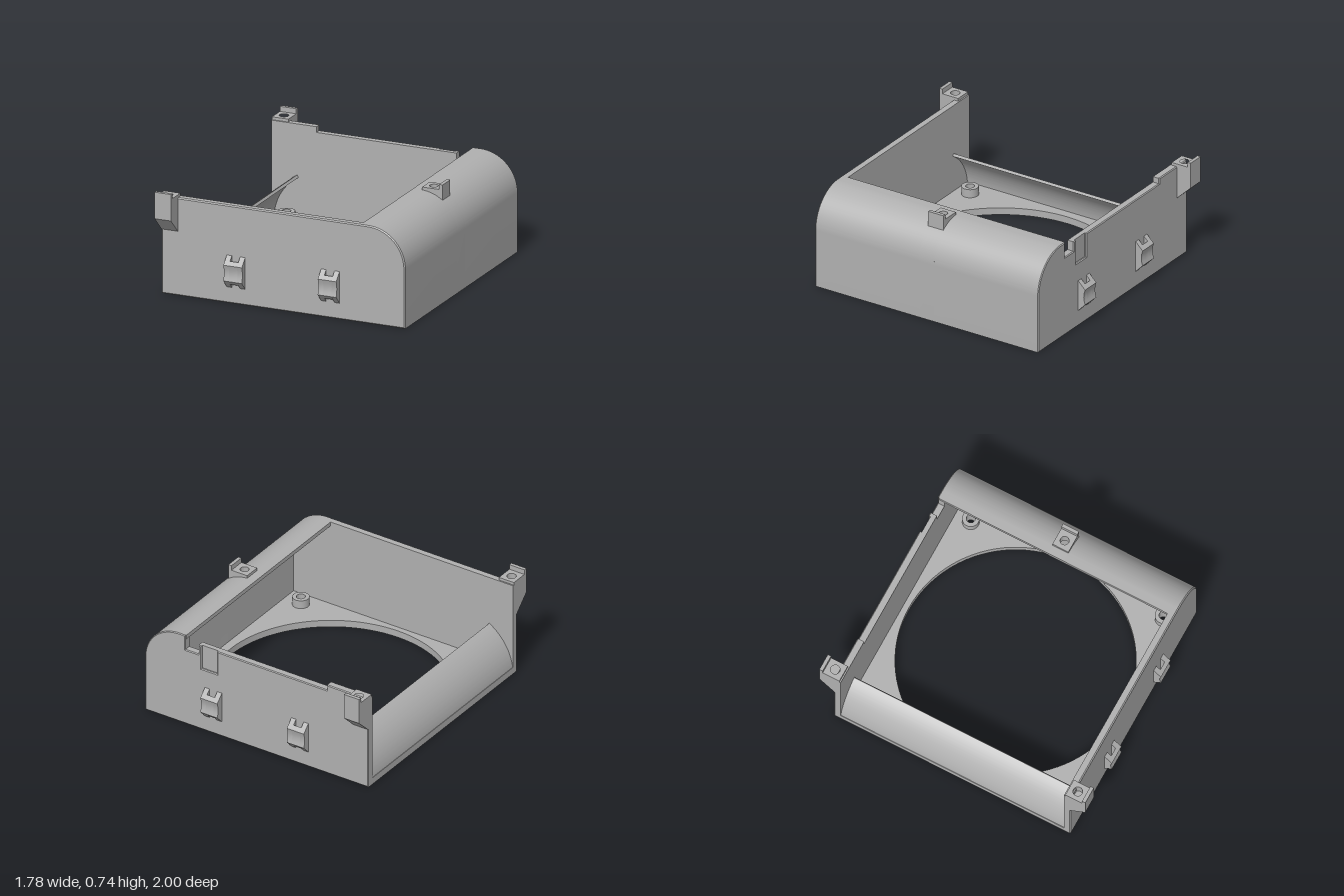
import * as THREE from 'three';
import { toCreasedNormals } from 'three/addons/utils/BufferGeometryUtils.js';

const W = 0.89, H = 0.685;          // half width and wall height
const ARC = { x: 0.62, y: 0.415, r: 0.27 }; // rounded shoulder

const polygon = (pts) => new THREE.Shape(pts.map(([a, b]) => new THREE.Vector2(a, b)));

const circleHole = (shape, x, y, r) => {
  const hole = new THREE.Path();
  hole.absarc(x, y, r, 0, Math.PI * 2, true);
  shape.holes.push(hole);
};

// Extrude a shape centred on its depth axis, with an optional small bevel
function extrude(shape, depth, bevel = 0, segments = 24) {
  const g = new THREE.ExtrudeGeometry(shape, {
    depth: depth - 2 * bevel, curveSegments: segments, bevelEnabled: bevel > 0,
    bevelSize: bevel, bevelOffset: -bevel, bevelThickness: bevel, bevelSegments: 1,
  });
  g.translate(0, 0, -(depth - 2 * bevel) / 2);
  return toCreasedNormals(g, 0.4);
}
// Profile given in (z, y), extruded along x
const alongX = (shape, depth) => extrude(shape, depth).rotateY(-Math.PI / 2);
// Plan given in (x, z), extruded from y0 to y1
const plate = (shape, y0, y1, segments = 32) =>
  extrude(shape, y1 - y0, 0, segments).rotateX(Math.PI / 2).translate(0, (y0 + y1) / 2, 0);

const rect = (x0, x1, y0, y1) => polygon([[x0, y0], [x1, y0], [x1, y1], [x0, y1]]);

// Side wall outline, with the rounded shoulder and an optional top edge
function wallOutline(topEdge) {
  const s = new THREE.Shape();
  s.moveTo(-W, 0);
  s.lineTo(W, 0);
  s.lineTo(W, ARC.y);
  s.absarc(ARC.x, ARC.y, ARC.r, 0, Math.PI / 2, false);
  topEdge.forEach(([x, y]) => s.lineTo(x, y));
  s.lineTo(-W, H);
  return s;
}

// Thin curved end wall, from the floor up to the given arc angle
function shellOutline(endAngle, lip) {
  const t = 0.03, s = new THREE.Shape();
  s.moveTo(W - t, 0);
  s.lineTo(W, 0);
  s.lineTo(W, ARC.y);
  s.absarc(ARC.x, ARC.y, ARC.r, 0, endAngle, false);
  if (lip) { s.lineTo(0.565, H); s.lineTo(0.565, H - t); }
  s.absarc(ARC.x, ARC.y, ARC.r - t, endAngle, 0, true);
  return s;
}

export function createModel() {
  const grey = new THREE.MeshStandardMaterial({ color: 0xb0b0b0 });
  grey.name = 'grey plastic';
  const model = new THREE.Group();
  model.name = 'fanDuct';
  const add = (name, geometry, parent = model) => {
    const m = new THREE.Mesh(geometry, grey);
    m.name = name;
    parent.add(m);
    return m;
  };

  // Floor with the large round opening and four screw holes
  const corners = [[1, 1], [1, -1], [-1, 1], [-1, -1]].map(([a, b]) => [a * 0.725, b * 0.725]);
  const floor = rect(-W, W, -0.88, 0.88);
  circleHole(floor, 0, 0, 0.8);
  corners.forEach(([x, z]) => circleHole(floor, x, z, 0.03));
  add('floor', plate(floor, 0, 0.05, 48));

  // Screw bosses
  corners.forEach(([x, z]) => {
    const ring = new THREE.Shape();
    ring.absarc(x, z, 0.058, 0, Math.PI * 2, false);
    circleHole(ring, x, z, 0.03);
    add('screwBoss', plate(ring, 0.045, 0.11, 16));
  });

  // Front wall: inner layer and chamfered outer layer
  add('frontWallInner', extrude(wallOutline([]), 0.04).translate(0, 0, 0.86));
  add('frontWallOuter', extrude(wallOutline([]), 0.025, 0.008).translate(0, 0, 0.8775));

  // Back wall: lowered top edge, a notch, and a shallow pocket outside
  const notch = [[0.57, H], [0.57, 0.575], [0.465, 0.575], [0.465, 0.645]];
  const step = [[-0.56, 0.645], [-0.56, H]];
  const pocket = [[0.44, 0.645], [0.44, 0.47], [0.315, 0.47], [0.315, 0.645]];
  add('backWallInner', extrude(wallOutline([...notch, ...step]), 0.035).translate(0, 0, -0.8575));
  add('backWallOuter', extrude(wallOutline([...notch, ...pocket, ...step]), 0.025, 0.006)
    .translate(0, 0, -0.8775));

  // Rounded end wall, split around the tab in the middle
  for (const s of [1, -1]) {
    add('roundedEndWall', extrude(shellOutline(Math.PI / 2, true), 0.82).translate(0, 0, s * 0.47));
  }
  add('roundedEndMiddle', extrude(shellOutline(Math.acos(0.16 / ARC.r), false), 0.12));
  add('roundedEndLip', extrude(rect(0.565, 0.635, H - 0.03, H), 0.12));

  // Screw tab on the rounded end
  const tab = rect(0.63, 0.78, -0.06, 0.06);
  circleHole(tab, 0.69, 0, 0.03);
  add('endTab', plate(tab, 0.625, 0.705));
  add('endTabLip', extrude(rect(0.755, 0.78, 0.7, 0.74), 0.12));

  // Low curved deflector on the open end
  const R = 0.38, T = 0.02, cx = -W + R, end = Math.PI * 2 / 3;
  const deflector = new THREE.Shape();
  deflector.absarc(cx, 0, R, Math.PI, end, true);
  deflector.absarc(cx, 0, R - T, end, Math.PI, false);
  add('curvedDeflector', extrude(deflector, 1.7));

  // Corner brackets with screw holes
  for (const s of [1, -1]) {
    const bracket = new THREE.Group();
    bracket.name = s > 0 ? 'frontCornerBracket' : 'backCornerBracket';
    const profile = [[0.87, 0.43], [0.89, 0.45], [1, 0.555], [1, 0.63], [0.87, 0.63]];
    add('bracketFoot', alongX(polygon(profile.map(([z, y]) => [s * z, y])), 0.12)
      .translate(-0.83, 0, 0), bracket);
    const top = polygon([[-0.89, s * 0.85], [-0.77, s * 0.85], [-0.77, s], [-0.89, s]]);
    circleHole(top, -0.83, s * 0.912, 0.032);
    add('bracketTop', plate(top, 0.63, 0.705), bracket);
    add('bracketLip', new THREE.BoxGeometry(0.12, 0.04, 0.025)
      .translate(-0.83, 0.72, s * 0.9875), bracket);
    model.add(bracket);
  }

  // Strap loops: two cheeks and a bridge that leaves a vertical slot
  const grip = [[0.945, 0.28], [0.938, 0.255], [0.934, 0.225], [0.938, 0.195], [0.945, 0.17]];
  const cheek = polygon([[0.88, 0.335], [0.89, 0.335], ...grip, [0.89, 0.113], [0.88, 0.113]]);
  const bridge = polygon([[0.92, 0.305], ...grip, [0.92, 0.143]]);
  for (const s of [1, -1]) for (const x of [-0.345, 0.345]) {
    const loop = new THREE.Group();
    loop.name = s > 0 ? 'frontStrapLoop' : 'backStrapLoop';
    for (const d of [-0.049, 0.049]) add('loopCheek', alongX(cheek, 0.037).translate(x + d, 0, 0), loop);
    add('loopBridge', alongX(bridge, 0.062).translate(x, 0, 0), loop);
    if (s < 0) loop.rotation.y = Math.PI;
    model.add(loop);
  }
  return model;
}
